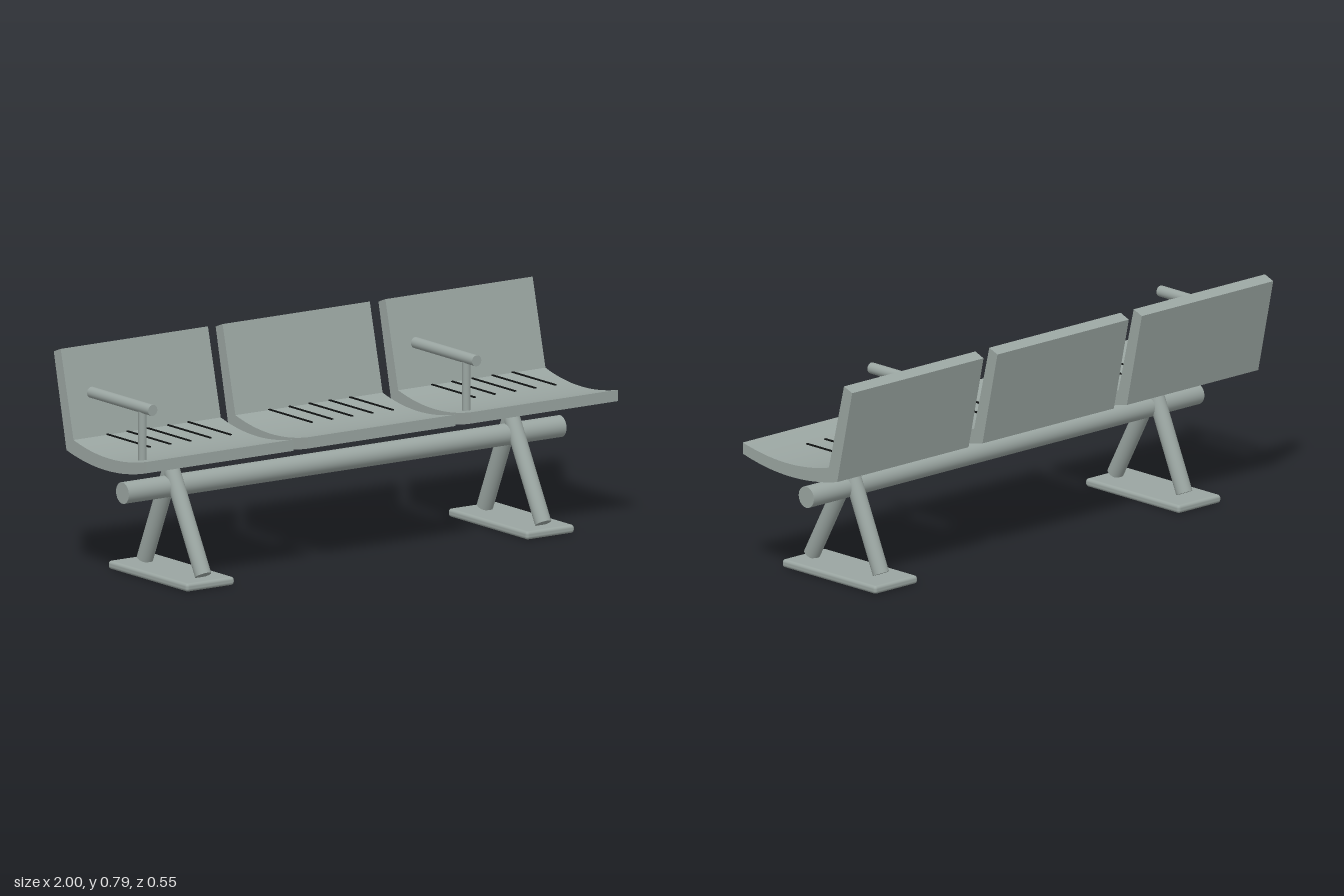
import * as THREE from 'three';
import { RoundedBoxGeometry } from 'three/addons/geometries/RoundedBoxGeometry.js';

const metal = new THREE.MeshStandardMaterial({ color: 0x9aa5a1 });
metal.name = 'greyMetal';
const dark = new THREE.MeshStandardMaterial({ color: 0x101212 });
dark.name = 'slotBlack';

const AXIS_Z = 0.036; // depth of the main beam

function add(parent, name, geometry, material, x = 0, y = 0, z = 0) {
  const mesh = new THREE.Mesh(geometry, material);
  mesh.name = name;
  mesh.position.set(x, y, z);
  parent.add(mesh);
  return mesh;
}

// Cylinder running between two points
function rod(parent, name, radius, from, to) {
  const a = new THREE.Vector3(...from), b = new THREE.Vector3(...to);
  const dir = b.clone().sub(a);
  const mesh = add(parent, name, new THREE.CylinderGeometry(radius, radius, dir.length(), 32), metal);
  mesh.position.copy(a).add(b).multiplyScalar(0.5);
  mesh.quaternion.setFromUnitVectors(new THREE.Vector3(0, 1, 0), dir.normalize());
}

// Curved seat and leaning back in one side profile; shape x is -z
function seatGeometry(width) {
  const s = new THREE.Shape();
  s.moveTo(-0.275, 0.443);
  s.quadraticCurveTo(-0.038, 0.38, 0.198, 0.441);
  s.lineTo(0.273, 0.776);
  s.lineTo(0.232, 0.792);
  s.lineTo(0.156, 0.484);
  s.quadraticCurveTo(-0.05, 0.428, -0.275, 0.483);
  const geometry = new THREE.ExtrudeGeometry(s, { depth: width, bevelEnabled: false, curveSegments: 20 });
  geometry.translate(0, 0, -width / 2);
  geometry.rotateY(Math.PI / 2);
  return geometry;
}

export function createModel() {
  const bench = new THREE.Group();
  bench.name = 'threeSeatBench';

  // Seats with ventilation slots
  const shell = seatGeometry(0.624);
  const slot = new THREE.BoxGeometry(0.008, 0.004, 0.255);
  for (const x of [-0.688, -0.002, 0.688]) {
    const seat = new THREE.Group();
    seat.name = 'seat';
    seat.position.x = x;
    bench.add(seat);
    add(seat, 'seatShell', shell, metal);
    for (let i = -2; i <= 2; i++) add(seat, 'seatSlot', slot, dark, i * 0.0855, 0.487, -0.026);
  }

  // Armrests
  for (const x of [-0.937, 0.436]) {
    const arm = new THREE.Group();
    arm.name = 'armrest';
    arm.position.x = x;
    bench.add(arm);
    rod(arm, 'armRail', 0.0195, [0, 0.648, 0.225], [0, 0.648, -0.137]);
    rod(arm, 'armPost', 0.0145, [0, 0.455, 0.164], [0, 0.64, 0.164]);
  }

  // Main beam
  rod(bench, 'beam', 0.038, [-0.93, 0.322, AXIS_Z], [0.925, 0.322, AXIS_Z]);

  // Splayed legs on foot plates
  for (const x of [-0.723, 0.718]) {
    const stand = new THREE.Group();
    stand.name = 'legStand';
    stand.position.x = x;
    bench.add(stand);
    rod(stand, 'frontLeg', 0.029, [0, 0.039, 0.225], [0, 0.382, AXIS_Z]);
    rod(stand, 'backLeg', 0.029, [0, 0.039, -0.12], [0, 0.382, 0.033]);
    add(stand, 'footPlate', new RoundedBoxGeometry(0.204, 0.029, 0.47, 3, 0.011), metal, 0, 0.0145, AXIS_Z);
  }
  return bench;
}
